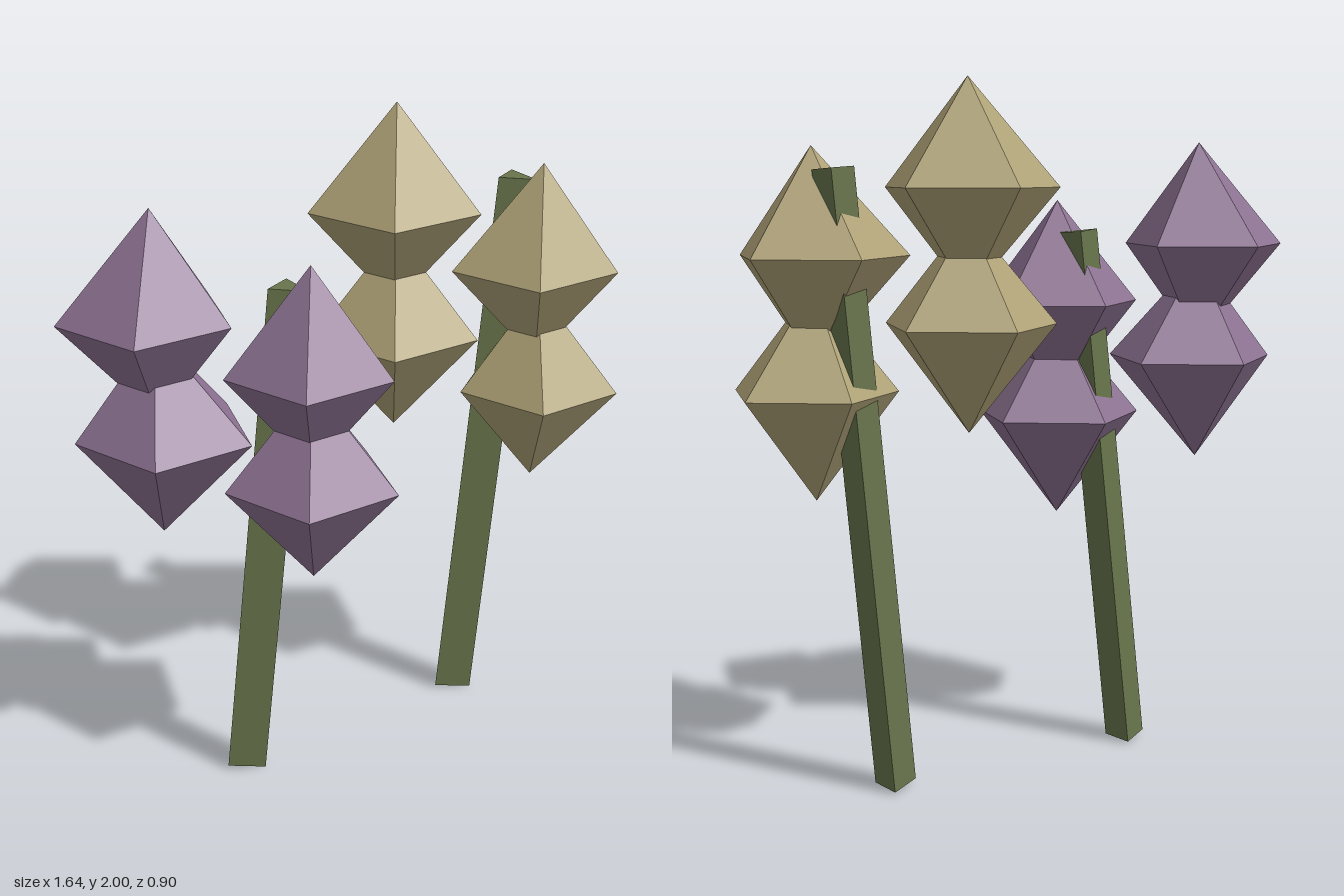
import * as THREE from 'three';

const mat = (name, color) => {
  const m = new THREE.MeshStandardMaterial({ color, flatShading: true });
  m.name = name;
  return m;
};

// Five-sided double pyramid; its widest ring is nudged sideways by dx
function bellGeometry(radius, halfHeight, dx) {
  const g = new THREE.SphereGeometry(1, 5, 2, Math.PI / 2 - 0.12);
  g.scale(radius, halfHeight, radius * 1.04);
  const p = g.attributes.position;
  for (let i = 0; i < p.count; i++) {
    if (Math.abs(p.getY(i)) < 0.01) p.setX(i, p.getX(i) + dx);
  }
  g.computeVertexNormals();
  return g;
}

// Leaning three-sided stalk, flat face forward, ridge at the back
function makeStem(name, bottom, top, z, material) {
  const a = new THREE.Vector3(bottom[0], bottom[1], z);
  const b = new THREE.Vector3(top[0], top[1], z);
  const dir = b.clone().sub(a);
  const stem = new THREE.Mesh(
    new THREE.CylinderGeometry(0.067, 0.067, dir.length(), 3, 1, false, Math.PI), material);
  stem.position.copy(a).add(b).multiplyScalar(0.5);
  stem.rotation.z = -Math.atan2(dir.x, dir.y);
  stem.name = name;
  return stem;
}

export function createModel() {
  const model = new THREE.Group();
  model.name = 'flowerStalks';
  const purple = mat('purple petals', 0x8e7393);
  const tan = mat('tan petals', 0xb0a378);
  const green = mat('green stem', 0x67734b);

  // Stalks
  model.add(makeStem('rightStem', [-0.34, 0.006], [-0.187, 1.564], 0.09, green));
  model.add(makeStem('leftStem', [0.367, 0.006], [0.52, 1.749], -0.31, green));

  // Flower clusters: two overlapping bells each, as [ring height, radius, ring shift]
  const clusters = [
    { name: 'outerPurpleFlower', x: -0.558, z: 0.18, material: purple, bells: [[1.52, 0.25, -0.02], [1.175, 0.257, 0.02]] },
    { name: 'innerPurpleFlower', x: -0.13, z: 0.18, material: purple, bells: [[1.348, 0.247, -0.005], [1.004, 0.258, 0]] },
    { name: 'innerTanFlower', x: 0.15, z: -0.215, material: tan, bells: [[1.695, 0.262, -0.005], [1.31, 0.258, 0]] },
    { name: 'outerTanFlower', x: 0.583, z: -0.215, material: tan, bells: [[1.505, 0.256, -0.02], [1.12, 0.248, 0.008]] },
  ];
  for (const c of clusters) {
    const flower = new THREE.Group();
    flower.name = c.name;
    flower.position.set(c.x, 0, c.z);
    c.bells.forEach(([y, radius, dx], i) => {
      const bell = new THREE.Mesh(bellGeometry(radius, 0.305, dx), c.material);
      bell.name = i === 0 ? 'upperBell' : 'lowerBell';
      bell.position.y = y;
      flower.add(bell);
    });
    model.add(flower);
  }
  return model;
}
